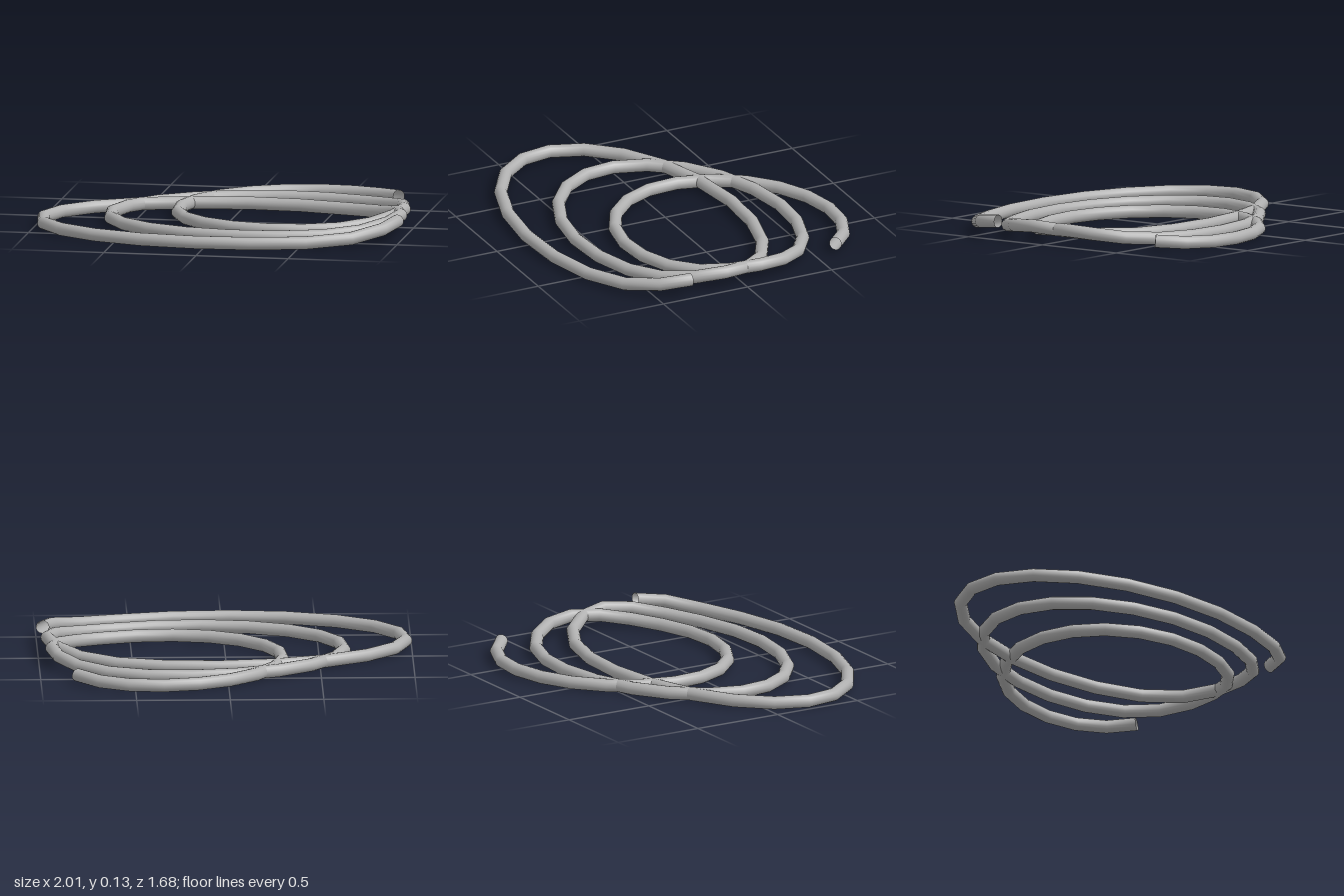
import * as THREE from 'three';

const RADIUS = 0.035;
const START = -0.4, END = 2.5; // turns

// Flattened drifting coil whose loops widen and share a raised side at +x
class CoilCurve extends THREE.Curve {
  getPoint(u, target = new THREE.Vector3()) {
    const turn = START + (END - START) * u;
    const angle = turn * Math.PI * 2;
    const x = 0.31 - 0.157 * turn - (0.61 + 0.177 * turn) * Math.cos(angle);
    const z = 0.215 * (turn - 1) + 0.535 * Math.sin(angle);
    const lift = 0.053 * Math.pow(Math.max(x, 0) / 0.95, 6.8);
    return target.set(x, RADIUS + lift, z);
  }
  // Keep the segments even in angle, so the wide loops are as faceted as the small ones
  getUtoTmapping(u) {
    return u;
  }
}

export function createModel() {
  const group = new THREE.Group();
  group.name = 'coil';
  const grey = new THREE.MeshStandardMaterial({ color: 0xb0b0b0, side: THREE.DoubleSide });
  grey.name = 'grey';

  // Open-ended wire
  const wire = new THREE.Mesh(new THREE.TubeGeometry(new CoilCurve(), 58, RADIUS, 16, false), grey);
  wire.name = 'coiledWire';
  group.add(wire);
  return group;
}
